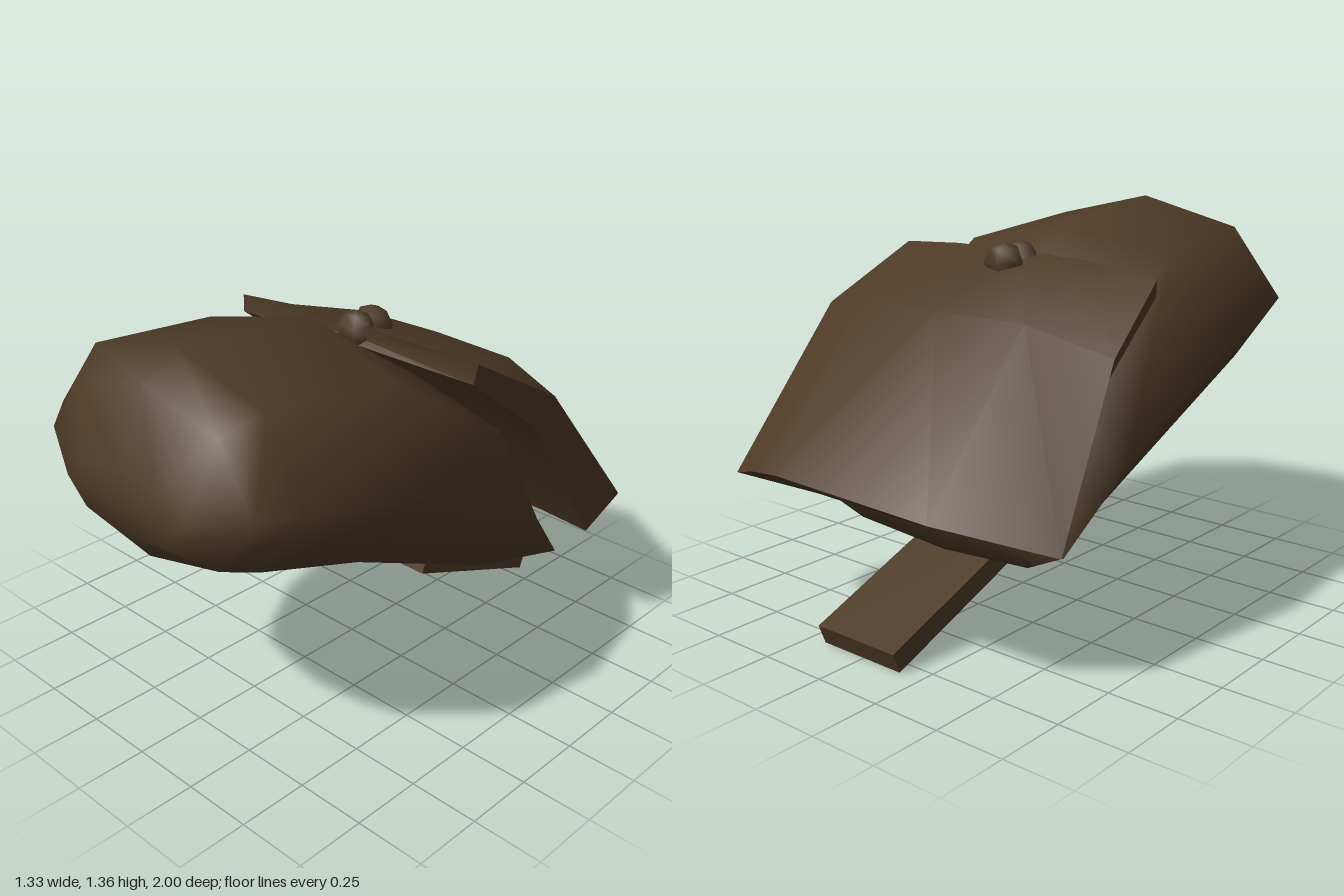
import * as THREE from 'three';
import { toCreasedNormals } from 'three/addons/utils/BufferGeometryUtils.js';

// Closed skin over rings ordered front to back, each running clockwise as seen from the front.
function loft(rings) {
  const n = rings[0].length;
  const points = rings.flat();
  const index = [];
  const addCentre = (ring) => {
    const c = [0, 1, 2].map((k) => ring.reduce((sum, p) => sum + p[k], 0) / n);
    return points.push(c) - 1;
  };
  for (let i = 0; i < rings.length - 1; i++) {
    for (let j = 0; j < n; j++) {
      const k = (j + 1) % n;
      const a = i * n + j, b = i * n + k, c = b + n, d = a + n;
      index.push(a, b, d, b, c, d);
    }
  }
  const front = addCentre(rings[0]);
  const back = addCentre(rings[rings.length - 1]);
  const last = (rings.length - 1) * n;
  for (let j = 0; j < n; j++) {
    const k = (j + 1) % n;
    index.push(front, k, j, back, last + j, last + k);
  }
  const geometry = new THREE.BufferGeometry();
  geometry.setAttribute('position', new THREE.Float32BufferAttribute(points.flat(), 3));
  geometry.setIndex(index);
  geometry.computeVertexNormals();
  return geometry;
}

// Eight-sided ring between a top and a bottom point on the centre line.
function bodyRing([topZ, topY, bottomZ, bottomY, halfWidth]) {
  const outline = [[0, 1], [0.68, 0.73], [1, 0], [0.68, -0.73], [0, -1], [-0.68, -0.73], [-1, 0], [-0.68, 0.73]];
  return outline.map(([u, v]) => {
    const t = (1 - v) / 2;
    return [0.01 + u * halfWidth, topY + (bottomY - topY) * t, topZ + (bottomZ - topZ) * t];
  });
}

export function createModel() {
  const model = new THREE.Group();
  const leather = new THREE.MeshStandardMaterial({ color: 0x4d3a26 });
  leather.name = 'brown leather';

  const add = (name, geometry) => {
    const mesh = new THREE.Mesh(geometry, leather);
    mesh.name = name;
    model.add(mesh);
    return mesh;
  };

  // Rounded, padded body: top z, top y, bottom z, bottom y, half width
  add('pouchBody', loft([
    [1.0, 1.04, 1.0, 0.82, 0.27],
    [0.89, 1.28, 0.91, 0.71, 0.48],
    [0.76, 1.36, 0.82, 0.68, 0.58],
    [0.22, 1.31, 0.48, 0.57, 0.65],
    [-0.29, 0.97, -0.19, 0.28, 0.63],
    [-0.53, 0.5, -0.41, 0.25, 0.56],
  ].map(bodyRing)));

  // Slightly skewed flap draped over the back: upper edge left to right, then the underside
  const flap = loft([
    [[-0.57, 1.19, -0.02], [-0.3, 1.22, -0.01], [0, 1.23, 0], [0.3, 1.23, 0], [0.53, 1.22, -0.02],
      [0.52, 1.15, -0.01], [0.3, 1.16, 0.01], [0, 1.16, 0.01], [-0.3, 1.15, 0.01], [-0.56, 1.13, -0.01]],
    [[-0.65, 1.0, -0.36], [-0.35, 1.08, -0.42], [0, 1.08, -0.44], [0.35, 1.08, -0.42], [0.6, 1.03, -0.35],
      [0.56, 0.92, -0.3], [0.3, 0.95, -0.32], [0, 0.95, -0.32], [-0.3, 0.95, -0.32], [-0.59, 0.92, -0.3]],
    [[-0.665, 0.45, -0.63], [-0.41, 0.58, -0.93], [0.16, 0.63, -1], [0.4, 0.57, -0.9], [0.61, 0.5, -0.8],
      [0.61, 0.42, -0.6], [0.4, 0.42, -0.62], [0, 0.42, -0.63], [-0.3, 0.42, -0.6], [-0.5, 0.41, -0.55]],
  ]);
  add('flap', toCreasedNormals(flap, 1.0));

  // Fastening stud at the flap's front edge
  const stud = add('studHead', new THREE.SphereGeometry(1, 6, 5));
  stud.scale.set(0.08, 0.07, 0.06);
  stud.position.set(0, 1.2, -0.02);
  const base = add('studBase', new THREE.SphereGeometry(1, 5, 4));
  base.scale.set(0.075, 0.07, 0.075);
  base.position.set(0, 1.2, -0.095);

  // Strap sloping down from beneath the body
  const strap = add('strap', new THREE.BoxGeometry(0.345, 0.075, 0.665));
  strap.position.set(0.01, 0.152, -0.512);
  strap.rotation.x = -0.37;

  return model;
}
